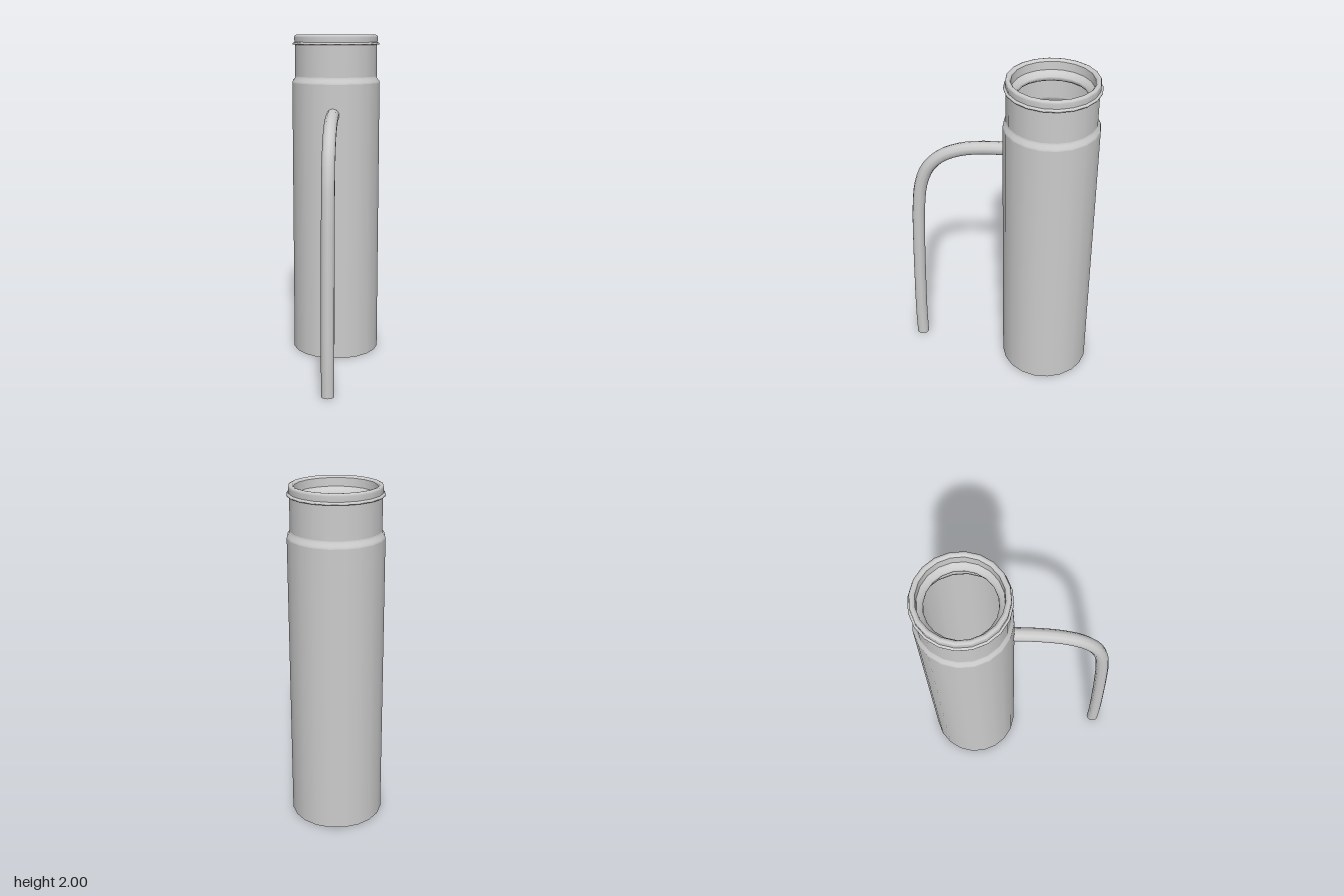
import * as THREE from 'three';

const material = new THREE.MeshStandardMaterial({ color: 0xcccccc, side: THREE.DoubleSide });

// Smooth lathe of [radius, height] points
function lathe(name, points) {
  const profile = points.map(([r, y]) => new THREE.Vector2(r, y));
  const mesh = new THREE.Mesh(new THREE.LatheGeometry(profile, 20), material);
  mesh.name = name;
  return mesh;
}

export function createModel() {
  const model = new THREE.Group();
  model.name = 'pipeWithSideTube';

  const pipe = new THREE.Group();
  pipe.name = 'pipe';
  pipe.position.set(0.203, 0, -0.153);
  model.add(pipe);

  // Open main barrel, shoulder and narrower neck
  pipe.add(lathe('barrel', [[0.273, 0], [0.273, 1.71]]));
  pipe.add(lathe('shoulder', [[0.273, 1.71], [0.27, 1.723], [0.258, 1.737], [0.255, 1.75]]));
  pipe.add(lathe('neck', [[0.255, 1.75], [0.255, 1.945]]));

  // Thin flange and rounded collar
  pipe.add(lathe('flange', [[0.255, 1.94], [0.268, 1.941], [0.27, 1.947], [0.266, 1.953], [0.258, 1.956]]));
  pipe.add(lathe('collar', [[0.258, 1.956], [0.26, 1.985], [0.257, 1.996], [0.247, 2], [0.237, 1.998], [0.229, 1.988]]));

  // Inner throat with a ledge returning to the neck wall
  pipe.add(lathe('throat', [[0.229, 1.988], [0.226, 1.94]]));
  pipe.add(lathe('innerLedge', [[0.226, 1.94], [0.212, 1.925], [0.197, 1.91], [0.195, 1.895], [0.21, 1.88], [0.254, 1.872]]));

  // Side tube bending down to the ground: fraction along its run, height
  const start = new THREE.Vector3(0.005, 0, 0.008);
  const end = new THREE.Vector3(-0.44, 0, 0.386);
  const path = [
    [0, 1.53], [0.22, 1.522], [0.46, 1.495], [0.66, 1.44], [0.81, 1.35],
    [0.895, 1.23], [0.94, 1.05], [0.965, 0.8], [0.985, 0.5], [1, 0.2], [1, 0],
  ].map(([t, y]) => start.clone().lerp(end, t).setY(y));
  const tube = new THREE.Mesh(
    new THREE.TubeGeometry(new THREE.CatmullRomCurve3(path), 40, 0.039, 10), material);
  tube.name = 'sideTube';
  model.add(tube);

  return model;
}
